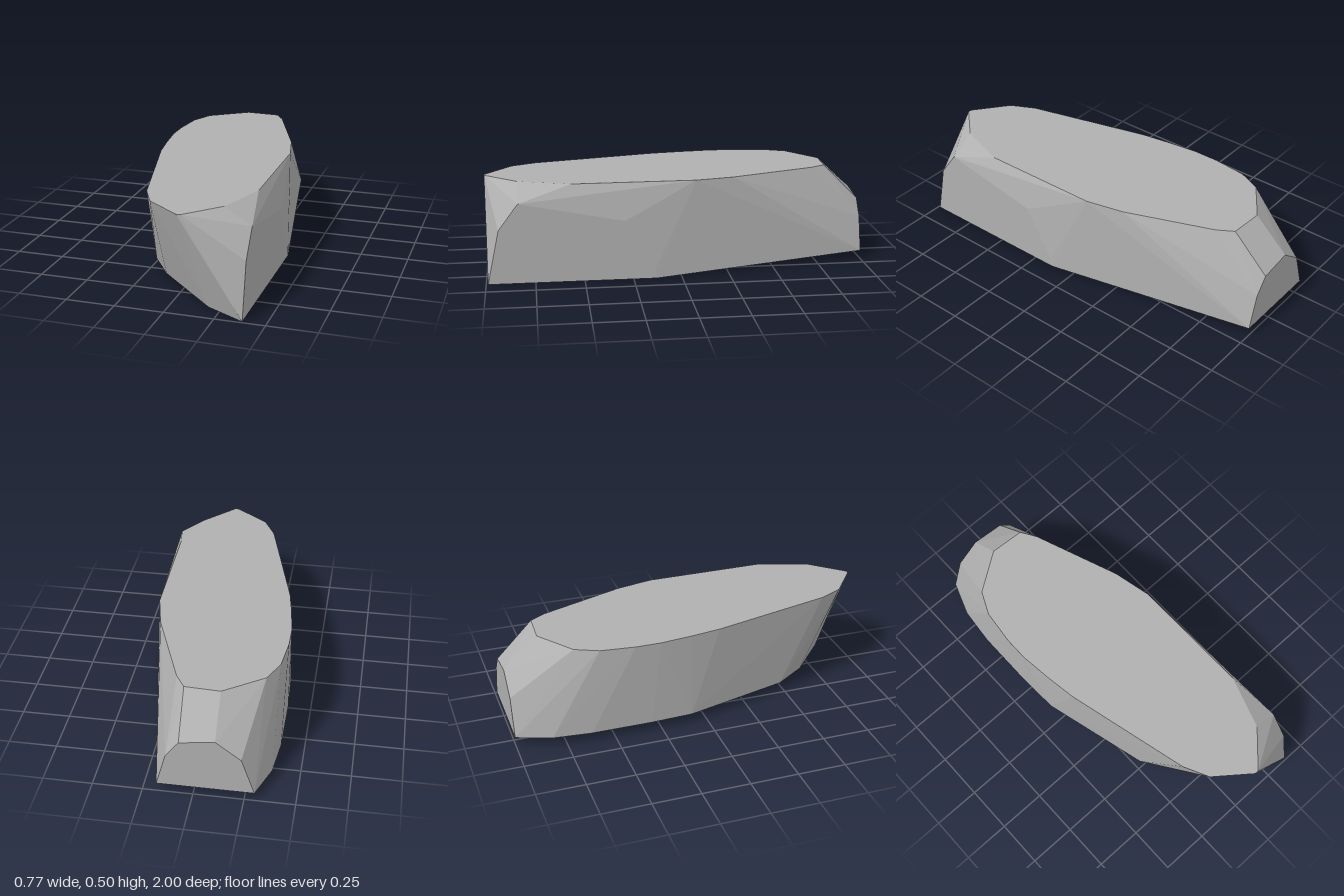
import * as THREE from 'three';
import { ConvexGeometry } from 'three/addons/geometries/ConvexGeometry.js';

// Flat outline of [x, z] corners at height y
const ring = (y, corners) => corners.map(([x, z]) => new THREE.Vector3(x, y, z));

export function createModel() {
  const stone = new THREE.MeshStandardMaterial({ color: 0xb0b0b0 });
  stone.name = 'stone grey';

  // Level top of the slab
  const top = ring(0.5, [
    [-0.11, -0.82], [0.07, -0.81], [0.12, -0.73], [0.29, -0.28], [0.335, -0.08],
    [0.34, 0.56], [0.25, 0.83], [0.22, 0.86], [0.09, 1], [0.07, 1], [-0.11, 0.86],
    [-0.175, 0.73], [-0.34, 0.08], [-0.365, -0.08], [-0.385, -0.25], [-0.385, -0.38],
    [-0.365, -0.56], [-0.31, -0.68],
  ]);

  // Underside: slightly raised along the right and back, resting on a flat patch
  const raised = ring(0.045, [
    [-0.11, 0.65], [-0.225, 0.48], [-0.375, -0.08], [-0.385, -0.3],
    [-0.385, -0.62], [-0.365, -0.82], [-0.3, -1], [0.18, -1],
  ]);
  const base = ring(0, [[0.385, 0.99], [0.385, 0.13], [0.2, -0.35], [0.185, 0.88]]);

  // Flat left side, as [z, y] corners
  const side = [[0.93, 0.28], [0.83, 0.415], [0.29, 0.31], [0.14, 0.045]]
    .map(([z, y]) => new THREE.Vector3(0.385, y, z));

  // Cut back end, as [x, y] corners
  const back = [[0.13, 0.225], [0.065, 0.31], [-0.11, 0.335], [-0.235, 0.24]]
    .map(([x, y]) => new THREE.Vector3(x, y, -1));

  const rock = new THREE.Mesh(
    new ConvexGeometry([...top, ...raised, ...base, ...side, ...back]), stone);
  rock.name = 'rockSlab';

  const model = new THREE.Group();
  model.name = 'rock';
  model.add(rock);
  return model;
}
